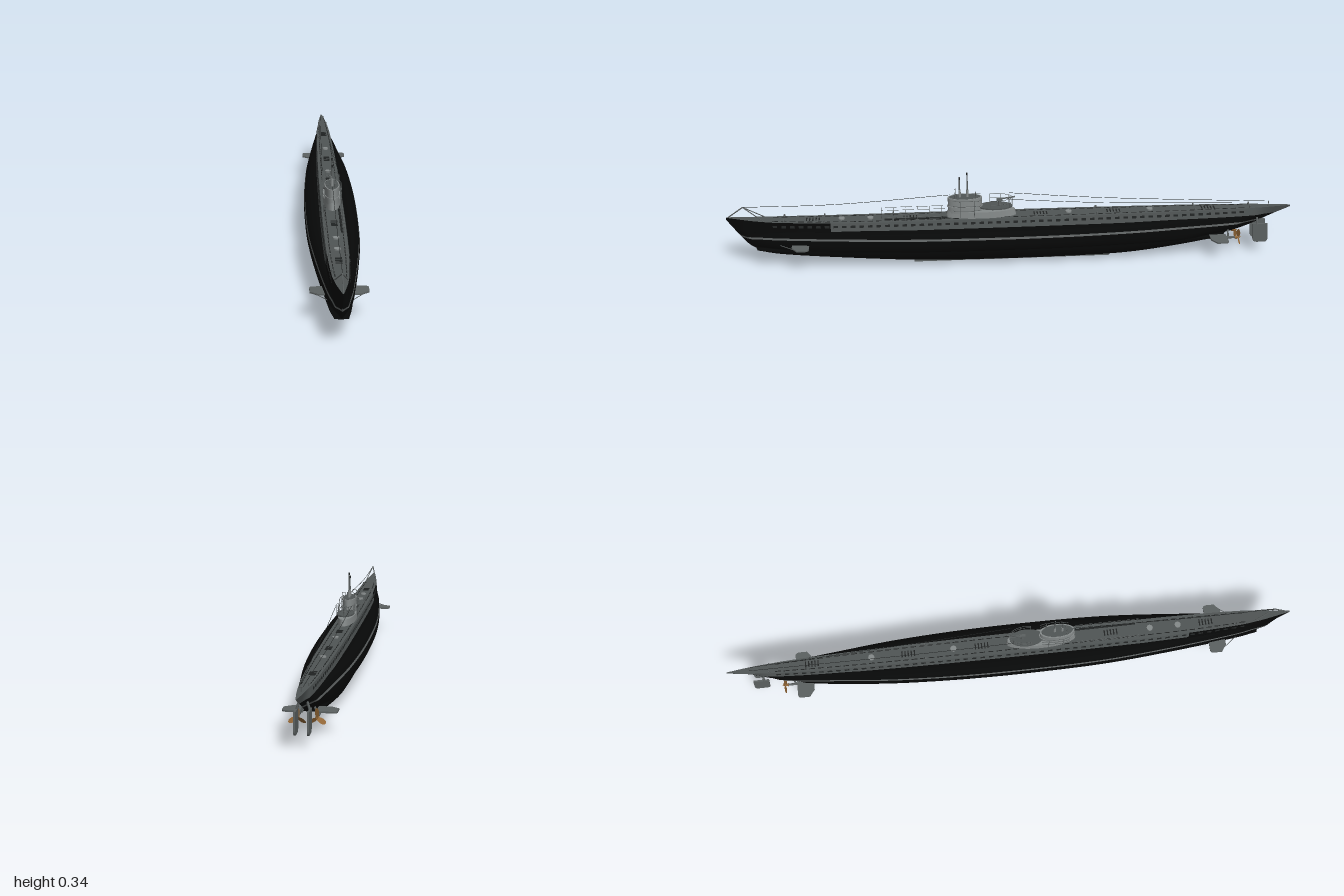
import * as THREE from 'three';

const mat = (name, color, side = THREE.FrontSide) => {
  const m = new THREE.MeshStandardMaterial({ color, side });
  m.name = name;
  return m;
};

export function createModel() {
  const black = mat('hull black', 0x070808, THREE.DoubleSide);
  const deckGrey = mat('deck grey', 0x505555, THREE.DoubleSide);
  const stripeGrey = mat('stripe grey', 0x606464);
  const towerGrey = mat('tower grey', 0x858a8a);
  const fittingGrey = mat('fitting grey', 0x5c6161);
  const dark = mat('opening dark', 0x222525);
  const brass = mat('propeller brass', 0x946838, THREE.DoubleSide);
  const model = new THREE.Group();

  const add = (name, geo, m, x = 0, y = 0, z = 0, parent = model) => {
    const mesh = new THREE.Mesh(geo, m);
    mesh.name = name;
    mesh.position.set(x, y, z);
    parent.add(mesh);
    return mesh;
  };
  const box = (name, m, w, h, d, x, y, z) => add(name, new THREE.BoxGeometry(w, h, d), m, x, y, z);
  const cyl = (name, m, r, h, x, y, z, r2 = r, n = 12) =>
    add(name, new THREE.CylinderGeometry(r2, r, h, n), m, x, y, z);
  const rod = (name, m, a, b, r = 0.001, n = 5) => {
    const p = new THREE.Vector3(...a), q = new THREE.Vector3(...b), d = q.clone().sub(p);
    const mesh = add(name, new THREE.CylinderGeometry(r, r, d.length(), n), m);
    mesh.position.copy(p).add(q).multiplyScalar(0.5);
    mesh.quaternion.setFromUnitVectors(new THREE.Vector3(0, 1, 0), d.normalize());
  };
  const tube = (name, m, pts, r = 0.0009) => add(name, new THREE.TubeGeometry(
    new THREE.CatmullRomCurve3(pts.map((p) => new THREE.Vector3(...p))), 28, r, 5), m);

  // Hull stations: z, keel height, deck height, tank half-width, lower half-width, deck half-width
  const stations = [
    [-1, 0.168, 0.174, 0.003, 0.002, 0.002], [-0.93, 0.138, 0.174, 0.014, 0.012, 0.011],
    [-0.85, 0.1, 0.174, 0.027, 0.023, 0.018], [-0.75, 0.068, 0.174, 0.041, 0.034, 0.024],
    [-0.6, 0.037, 0.174, 0.058, 0.047, 0.029], [-0.4, 0.013, 0.174, 0.078, 0.062, 0.033],
    [-0.15, 0.007, 0.174, 0.09, 0.069, 0.036], [0.1, 0.007, 0.174, 0.092, 0.07, 0.037],
    [0.35, 0.013, 0.174, 0.086, 0.067, 0.037], [0.6, 0.032, 0.175, 0.065, 0.055, 0.035],
    [0.8, 0.05, 0.18, 0.042, 0.037, 0.028], [0.88, 0.066, 0.184, 0.028, 0.025, 0.021],
    [0.93, 0.092, 0.188, 0.019, 0.016, 0.014], [1, 0.186, 0.195, 0.002, 0.002, 0.002],
  ];
  const curve = (k) => new THREE.CatmullRomCurve3(
    stations.map((s) => new THREE.Vector3(s[k], s[k + 1], s[k + 2])), false, 'catmullrom', 0.5);
  const shapeCurve = curve(0), widthCurve = curve(3);
  const ARC = 7, SLICES = 78;

  // Cross-section running from the keel up the left side, over the deck and down the right
  const section = (t) => {
    const { x: z, y: keel, z: deck } = shapeCurve.getPoint(t);
    const { x: W, y: B, z: D } = widthCurve.getPoint(t);
    const half = [[0, keel]];
    for (let i = 1; i <= ARC; i++) {
      const a = (i / ARC) * Math.PI / 2;
      half.push([B * Math.sin(a), keel + (0.073 - keel) * (1 - Math.cos(a))]);
    }
    const foot = Math.min(W * 0.9, D * 1.15);
    half.push([W * 0.87, 0.0715], [W * 0.955, 0.081], [W, 0.099], [W * 0.98, 0.118], [W * 0.955, 0.1255],
      [W * 0.86, 0.138], [Math.max(W * 0.7, foot), 0.1445], [Math.max(W * 0.56, foot), 0.145],
      [foot, 0.142], [D, deck]);
    const pts = half.map(([x, y], i) => {
      const last = i === half.length - 1;
      const fade = last || i <= ARC && keel < 0.073 ? 1 : THREE.MathUtils.clamp((y - keel) / 0.035, 0, 1);
      return [x * fade, Math.max(y, keel), z];
    });
    return [...pts, ...pts.map(([x, y, zz]) => [-x, y, zz]).reverse()];
  };
  const rings = Array.from({ length: SLICES + 1 }, (_, j) => section(j / SLICES));
  const N = rings[0].length, H = N / 2;
  const strip = (name, m, a, b, part) => {
    const pos = [], idx = [], n = b - a + 1;
    part.forEach((r, j) => {
      for (let i = a; i <= b; i++) pos.push(...r[i]);
      if (j < part.length - 1) for (let i = 0; i < n - 1; i++) {
        const p = j * n + i, q = p + n;
        idx.push(p, p + 1, q, p + 1, q + 1, q);
      }
    });
    const g = new THREE.BufferGeometry();
    g.setAttribute('position', new THREE.Float32BufferAttribute(pos, 3));
    g.setIndex(idx);
    g.computeVertexNormals();
    add(name, g, m);
  };
  const bothSides = (name, m, a, b, part = rings) => {
    strip(name + 'Left', m, a, b, part);
    strip(name + 'Right', m, N - 1 - b, N - 1 - a, part);
  };
  bothSides('lowerHull', black, 0, ARC);
  bothSides('saddleTank', black, ARC, ARC + 4);
  bothSides('hullStripe', stripeGrey, ARC + 4, ARC + 5);
  bothSides('upperTank', black, ARC + 5, H - 2);
  // The casing sides are grey amidships and black at the bow
  const bowStart = rings.findIndex((r) => r[0][2] > 0.6);
  bothSides('casingSide', deckGrey, H - 2, H - 1, rings.slice(0, bowStart + 1));
  bothSides('bowSide', black, H - 2, H - 1, rings.slice(bowStart));
  strip('deck', deckGrey, H - 1, H, rings);
  box('keel', fittingGrey, 0.015, 0.014, 0.7, 0, 0.007, 0.0);

  // Deck height and half-width at a given z
  const at = (z) => {
    const r = rings.reduce((p, q) => (Math.abs(q[0][2] - z) < Math.abs(p[0][2] - z) ? q : p));
    return { x: r[H - 1][0], y: r[H - 1][1], foot: r[H - 2] };
  };

  // Flood slots along the casing and slats on the deck
  for (let i = 0; i < 56; i++) {
    const z = -0.82 + i * 0.03, d = at(z);
    for (const s of [-1, 1]) {
      const slot = box('floodSlot', dark, 0.002, 0.008, 0.016,
        s * (d.x * 0.6 + d.foot[0] * 0.4), d.y * 0.6 + d.foot[1] * 0.4, z);
      slot.rotation.z = s * Math.atan2(d.foot[0] - d.x, d.y - d.foot[1]);
      box('deckSlat', dark, 0.003, 0.002, 0.02, s * d.x * 0.68, d.y, z);
    }
  }
  // Hatches, gratings and bollards
  for (const z of [-0.49, 0.5, 0.6, -0.2]) cyl('deckHatch', towerGrey, 0.011, 0.006, 0, at(z).y + 0.002, z);
  for (const z of [-0.7, -0.36, -0.1, 0.02, 0.36, 0.7])
    for (let i = -2; i <= 2; i++) box('deckGrating', dark, 0.022, 0.002, 0.004, 0, at(z).y + 0.0005, z + i * 0.011);
  for (const z of [-0.85, -0.65, -0.3, 0.42, 0.66, 0.8])
    for (const s of [-1, 1]) cyl('bollard', fittingGrey, 0.003, 0.01, s * at(z).x * 0.8, at(z).y + 0.004, z, 0.003, 8);
  rod('stowedMast', dark, [0.021, 0.178, 0.23], [0.021, 0.178, 0.45], 0.003, 8);

  // Conning tower: long base, oval tower, collars and aft platform
  const oval = (name, m, rx, rz, h, y, z, taper = 1) => {
    const mesh = cyl(name, m, 1, h, 0, y, z, taper, 32);
    mesh.scale.set(rx, 1, rz);
  };
  oval('towerBase', towerGrey, 0.032, 0.125, 0.026, 0.184, 0.11, 0.95);
  oval('tower', towerGrey, 0.025, 0.06, 0.056, 0.218, 0.167);
  oval('towerCollar', towerGrey, 0.027, 0.063, 0.004, 0.213, 0.167);
  oval('towerLip', towerGrey, 0.026, 0.061, 0.004, 0.243, 0.167);
  oval('bridgeFloor', deckGrey, 0.022, 0.055, 0.002, 0.2455, 0.167);
  oval('aftPlatform', deckGrey, 0.031, 0.06, 0.005, 0.207, 0.06);
  cyl('gunPedestal', fittingGrey, 0.006, 0.022, 0, 0.219, 0.045, 0.004);
  box('gunBreech', fittingGrey, 0.009, 0.009, 0.022, 0, 0.232, 0.045);
  for (const s of [-1, 1]) rod('gunBarrel', fittingGrey, [s * 0.003, 0.232, 0.05], [s * 0.003, 0.241, -0.01], 0.0014, 6);

  // Railings around the platform and beside the tower
  for (const y of [0.224, 0.24]) {
    const pts = [];
    for (let i = 0; i <= 12; i++) {
      const a = -0.3 + (i / 12) * (Math.PI + 0.6);
      pts.push([Math.cos(a) * 0.031, y, 0.06 - Math.sin(a) * 0.06]);
      if (y > 0.23 && i % 2 === 0) rod('railPost', fittingGrey, [pts[i][0], 0.207, pts[i][2]], pts[i]);
    }
    tube('platformRail', fittingGrey, pts);
  }
  for (const s of [-1, 1]) {
    for (const y of [0.205, 0.222, 0.242]) tube('towerHandrail', fittingGrey,
      [[s * 0.026, y, 0.21], [s * 0.032, y, 0.19], [s * 0.032, y, 0.13], [s * 0.028, y, 0.11]]);
    for (const z of [0.135, 0.185]) rod('towerRailPost', fittingGrey, [s * 0.032, 0.18, z], [s * 0.032, 0.243, z]);
  }
  for (const s of [-1, 1]) {
    for (let z = 0.25; z < 0.47; z += 0.042) rod('deckRailPost', fittingGrey, [s * 0.03, 0.174, z], [s * 0.03, 0.2, z], 0.0008);
    for (const y of [0.188, 0.2]) rod('deckRail', fittingGrey, [s * 0.03, y, 0.23], [s * 0.03, y, 0.462], 0.0007);
  }

  // Periscopes, direction finder and bridge fittings
  for (const [z, top] of [[0.185, 0.322], [0.158, 0.338]]) {
    cyl('periscopeSleeve', towerGrey, 0.005, 0.03, 0, 0.258, z, 0.004);
    cyl('periscope', fittingGrey, 0.003, top - 0.25, 0, (top + 0.25) / 2, z, 0.002);
    box('periscopeHead', dark, 0.005, 0.009, 0.005, 0, top - 0.005, z);
  }
  add('directionLoop', new THREE.TorusGeometry(0.008, 0.0011, 6, 24), fittingGrey, -0.015, 0.262, 0.2);
  cyl('loopStem', fittingGrey, 0.002, 0.01, -0.015, 0.25, 0.2);
  cyl('sightColumn', fittingGrey, 0.003, 0.016, 0.011, 0.25, 0.2);
  add('antennaFrame', new THREE.TorusGeometry(0.008, 0.0009, 4, 4).rotateZ(Math.PI / 4), fittingGrey, 0.016, 0.264, 0.13);
  cyl('frameStem', fittingGrey, 0.0015, 0.014, 0.016, 0.252, 0.13);

  // Bow frame and rigging wires
  const apex = [0, 0.232, 0.94];
  rod('bowFrameFront', fittingGrey, [0, 0.193, 0.995], apex, 0.0022);
  for (const s of [-1, 1]) {
    rod('bowFrameLeg', fittingGrey, [s * 0.02, 0.183, 0.868], apex, 0.0018);
    tube('aftWire', dark, [[s * 0.028, 0.243, 0.01], [s * 0.021, 0.217, -0.31], [s * 0.006, 0.188, -0.92]], 0.0008);
  }
  tube('foreWire', dark, [apex, [0, 0.232, 0.62], [0, 0.255, 0.22]], 0.0008);
  rod('sternWirePost', fittingGrey, [0, 0.172, -0.92], [0, 0.19, -0.92], 0.0015);
  rod('sternWireBar', fittingGrey, [-0.007, 0.188, -0.92], [0.007, 0.188, -0.92], 0.0012);

  // Diving planes, drawn in plan and extruded thinly
  const planes = (name, root, tip, z0, z1, y) => {
    const sh = new THREE.Shape();
    sh.moveTo(root, z0);
    sh.lineTo(tip - 0.012, z0);
    sh.quadraticCurveTo(tip, z0, tip, z0 + 0.014);
    sh.lineTo(tip, z1 - 0.018);
    sh.lineTo(tip - 0.025, z1);
    sh.lineTo(root, z1);
    for (const s of [1, -1]) {
      const g = new THREE.ExtrudeGeometry(sh, { depth: 0.005, bevelEnabled: false }).rotateX(Math.PI / 2);
      add(name, s > 0 ? g : g.rotateZ(Math.PI), fittingGrey, 0, y + s * 0.0025, 0);
    }
  };
  planes('bowPlane', 0.02, 0.091, 0.715, 0.775, 0.098);
  planes('sternPlane', 0.02, 0.085, -0.768, -0.708, 0.072);

  // Brass propellers with shafts, twin rudders
  const blade = new THREE.Shape();
  blade.moveTo(-0.003, 0);
  blade.bezierCurveTo(-0.012, 0.012, -0.01, 0.029, 0, 0.031);
  blade.bezierCurveTo(0.01, 0.029, 0.012, 0.012, 0.003, 0);
  for (const s of [-1, 1]) {
    rod('bowPlaneGuard', fittingGrey, [s * 0.085, 0.098, 0.755], [s * 0.024, 0.098, 0.835], 0.0013);
    rod('propellerShaft', fittingGrey, [s * 0.03, 0.066, -0.6], [s * 0.03, 0.066, -0.805], 0.004, 10);
    rod('shaftStrut', fittingGrey, [s * 0.03, 0.066, -0.775], [s * 0.012, 0.1, -0.775], 0.0035, 6);
    const prop = new THREE.Group();
    prop.name = 'propeller';
    prop.position.set(s * 0.03, 0.066, -0.812);
    model.add(prop);
    add('propellerHub', new THREE.ConeGeometry(0.006, 0.024, 12).rotateX(-Math.PI / 2), brass, 0, 0, 0, prop);
    for (let i = 0; i < 3; i++) {
      const g = new THREE.ShapeGeometry(blade, 8).rotateY(s * 0.6).rotateZ((i * Math.PI * 2) / 3);
      add('propellerBlade', g, brass, 0, 0, 0, prop);
    }
    const r = new THREE.Shape();
    r.moveTo(-0.862, 0.112);
    r.lineTo(-0.868, 0.05);
    r.quadraticCurveTo(-0.87, 0.04, -0.885, 0.04);
    r.lineTo(-0.912, 0.04);
    r.quadraticCurveTo(-0.922, 0.042, -0.922, 0.055);
    r.lineTo(-0.918, 0.112);
    const g = new THREE.ExtrudeGeometry(r, { depth: 0.006, bevelEnabled: false }).rotateY(-Math.PI / 2);
    add('rudder', g, fittingGrey, s * 0.02 + 0.003, 0, 0);
    rod('rudderStock', fittingGrey, [s * 0.02, 0.108, -0.88], [s * 0.012, 0.135, -0.88], 0.004, 8);
  }
  return model;
}
